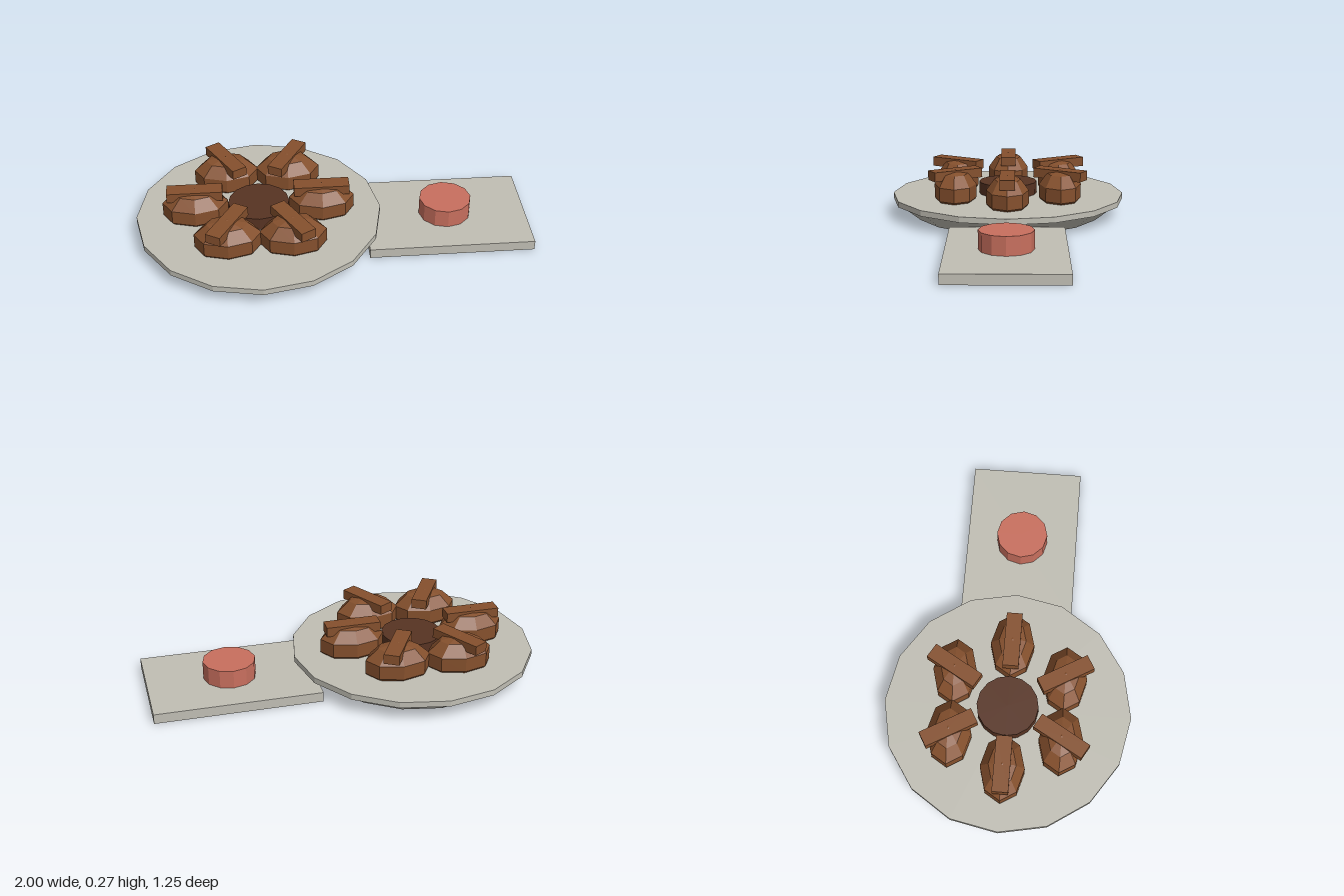
import * as THREE from 'three';

export function createModel() {
  const group = new THREE.Group();
  const material = (name, color) => {
    const m = new THREE.MeshStandardMaterial({ color, flatShading: true });
    m.name = name;
    return m;
  };
  const stone = material('pale stone', 0xc0beb4);
  const brown = material('baked brown', 0x85502d);
  const dark = material('dark brown', 0x573322);
  const red = material('soft red', 0xc86f5e);

  const add = (name, geometry, mat, x, y, z, parent = group) => {
    const mesh = new THREE.Mesh(geometry, mat);
    mesh.name = name;
    mesh.position.set(x, y, z);
    parent.add(mesh);
    return mesh;
  };

  // Round plate: sloped base under an overhanging rim
  const cx = -0.377;
  add('plateBase', new THREE.CylinderGeometry(0.6, 0.5, 0.08, 16), stone, cx, 0.04, 0);
  add('plateRim', new THREE.CylinderGeometry(0.623, 0.623, 0.03, 16), stone, cx, 0.095, 0);

  // Dark round centre piece
  add('centrePiece', new THREE.CylinderGeometry(0.155, 0.155, 0.065, 16), dark, cx, 0.1425, 0);

  // Ring of six buns, all stretched along x, each with a bar pointing outward
  const bunGeometry = new THREE.SphereGeometry(0.116, 8, 5).scale(1.5, 1, 1);
  const barGeometry = new THREE.BoxGeometry(0.28, 0.05, 0.08);
  for (let i = 0; i < 6; i++) {
    const angle = (i * Math.PI) / 3;
    const serving = new THREE.Group();
    serving.name = 'serving' + (i + 1);
    serving.position.set(cx + 0.32 * Math.cos(angle), 0, 0.32 * Math.sin(angle));
    add('bun', bunGeometry, brown, 0, 0.156, 0, serving);
    add('bar', barGeometry, brown, 0, 0.245, 0, serving).rotation.y = -angle;
    group.add(serving);
  }

  // Side board with a round red piece
  add('sideBoard', new THREE.BoxGeometry(0.835, 0.05, 0.58), stone, 0.5825, 0.025, 0);
  add('redPiece', new THREE.CylinderGeometry(0.133, 0.133, 0.093, 12), red, 0.582, 0.0965, 0);

  return group;
}
